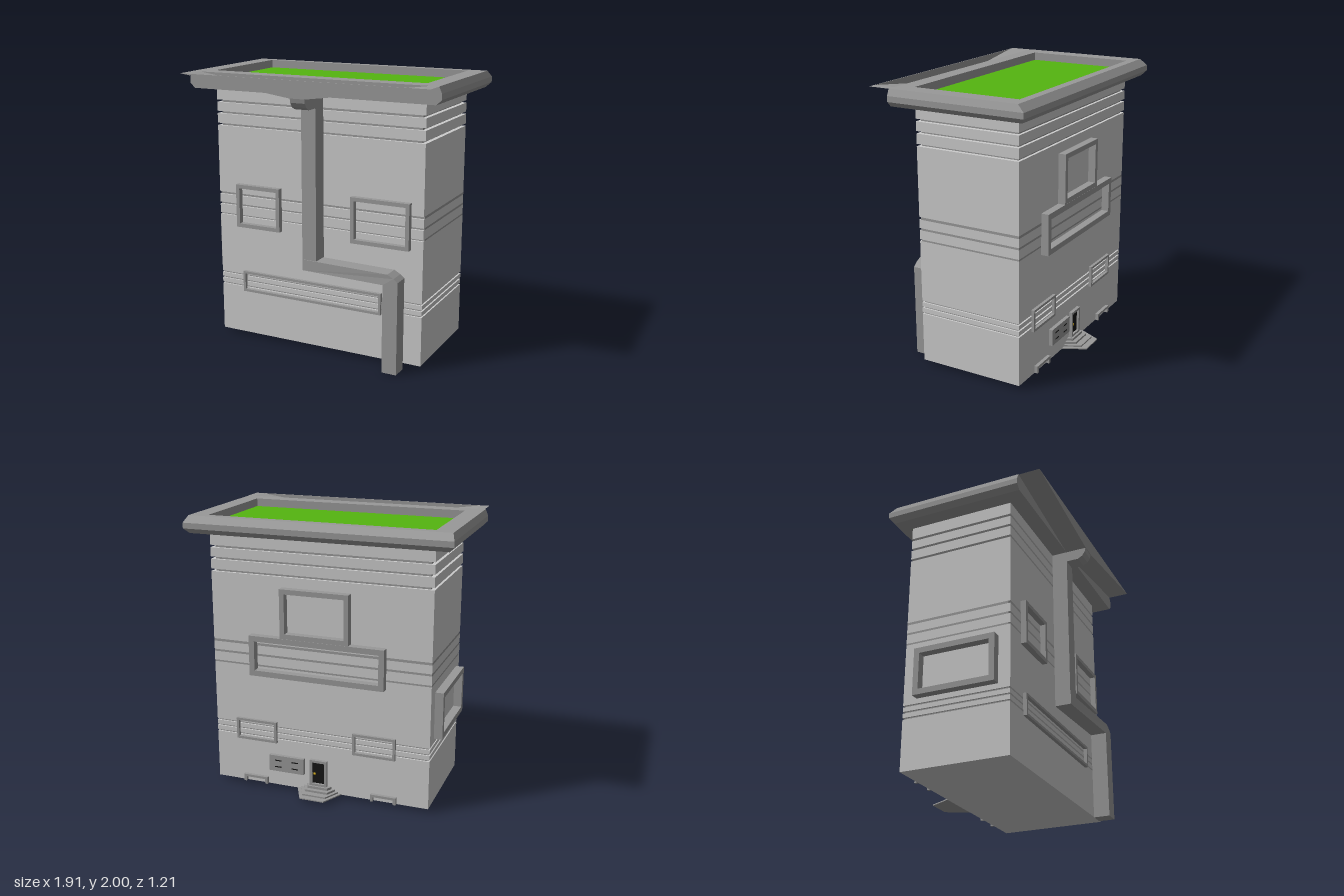
import * as THREE from 'three';

const mat = (color) => new THREE.MeshStandardMaterial({ color, flatShading: true, side: THREE.DoubleSide });
const WALL = mat(0xcccccc), TRIM = mat(0x999999), GREEN = mat(0x55b510), DARK = mat(0x161616), GOLD = mat(0xd8b020);
const BACK = -0.445, FRONT = 0.335;

function add(parent, name, geometry, material = TRIM) {
  const mesh = new THREE.Mesh(geometry, material);
  mesh.name = name;
  parent.add(mesh);
  return mesh;
}

// Box given by its limits
function box(parent, name, x0, x1, y0, y1, z0, z1, material) {
  const g = new THREE.BoxGeometry(x1 - x0, y1 - y0, z1 - z0);
  g.translate((x0 + x1) / 2, (y0 + y1) / 2, (z0 + z1) / 2);
  return add(parent, name, g, material);
}

const polygon = (pts) => new THREE.Shape(pts.map(([x, y]) => new THREE.Vector2(x, y)));
const extrude = (shape, depth) => new THREE.ExtrudeGeometry(shape, { depth, bevelEnabled: false });
const rect = (w, h) => [[-w / 2, -h / 2], [w / 2, -h / 2], [w / 2, h / 2], [-w / 2, h / 2]];

// Rectangular frame standing out from a wall
function frame(parent, name, w, h, bar, depth, x, y, z, turn = 0) {
  const shape = polygon(rect(w, h));
  shape.holes.push(polygon(rect(w - 2 * bar, h - 2 * bar).reverse()));
  const mesh = add(parent, name, extrude(shape, depth));
  mesh.position.set(x, y, z);
  mesh.rotation.y = turn;
  return mesh;
}

// Skin through rectangular rings [halfWidth, zBack, zFront, y]
function loftRings(rings) {
  const pos = [];
  const corners = ([x, zb, zf, y]) => [[-x, y, zf], [x, y, zf], [x, y, zb], [-x, y, zb]];
  for (let r = 0; r < rings.length - 1; r++) {
    const a = corners(rings[r]), b = corners(rings[r + 1]);
    for (let i = 0; i < 4; i++) {
      const j = (i + 1) % 4;
      pos.push(...a[i], ...a[j], ...b[j], ...a[i], ...b[j], ...b[i]);
    }
  }
  const g = new THREE.BufferGeometry();
  g.setAttribute('position', new THREE.Float32BufferAttribute(pos, 3));
  g.computeVertexNormals();
  return g;
}

function buildBody(model) {
  const body = new THREE.Group();
  body.name = 'body';
  // Grooves: [bottom, top, side inset, back inset, front inset]
  const grooves = [
    [0.39, 0.402, 0.012, 0.012, 0.012], [0.434, 0.446, 0.012, 0.012, 0.012], [0.477, 0.489, 0.012, 0.012, 0.012],
    [0.935, 0.947, 0, 0, 0.015], [1.013, 1.028, 0, 0, 0.015], [1.09, 1.108, 0, 0, 0.015],
    [1.603, 1.62, 0.03, 0.02, 0.02], [1.69, 1.707, 0.03, 0.02, 0.02], [1.772, 1.79, 0.03, 0.02, 0.02],
  ];
  let y = 0.03;
  for (const [y0, y1, sx, sb, sf] of grooves) {
    box(body, 'wallBlock', -0.81, 0.81, y, y0, BACK, FRONT, WALL);
    box(body, 'wallGroove', -0.81 + sx, 0.81 - sx, y0, y1, BACK + sb, FRONT - sf, sx || sf ? TRIM : WALL);
    y = y1;
  }
  box(body, 'wallBlock', -0.81, 0.81, y, 1.88, BACK, FRONT, WALL);
  model.add(body);
}

function buildRoof(model) {
  const roof = new THREE.Group();
  roof.name = 'roof';
  add(roof, 'cornice', loftRings([
    [0.81, BACK, FRONT, 1.88], [0.92, -0.53, 0.45, 1.88], [0.955, -0.56, 0.45, 1.915], [0.955, -0.56, 0.45, 1.955],
    [0.935, -0.51, 0.45, 2], [0.81, -0.45, 0.335, 2], [0.81, -0.45, 0.335, 1.94],
  ]));
  box(roof, 'roofLawn', -0.81, 0.81, 1.88, 1.942, -0.45, 0.335, GREEN);
  model.add(roof);
}

function buildDrain(model) {
  const drain = new THREE.Group();
  drain.name = 'drain';
  // Open gutter whose floor falls from both ends to the middle
  const floor = extrude(polygon([[-0.93, 2], [-0.06, 1.88], [0.06, 1.88], [0.94, 2],
    [0.88, 2], [0.06, 1.888], [-0.06, 1.888], [-0.87, 2]]), 0.155);
  add(drain, 'gutterFloor', floor.translate(0, 0, 0.45));
  const board = extrude(polygon([[-0.93, 2], [-0.06, 1.88], [0.06, 1.88], [0.94, 2]]), 0.006);
  add(drain, 'gutterFrontBoard', board.translate(0, 0, 0.599));
  // Outlet under the gutter
  const outlet = extrude(polygon([[0.44, 1.8], [0.54, 1.8], [0.575, 1.82], [0.595, 1.85], [0.602, 1.88], [0.44, 1.88]]), 0.11);
  add(drain, 'gutterOutlet', outlet.rotateY(-Math.PI / 2).translate(0.055, 0, 0));
  box(drain, 'upperDownpipe', -0.055, 0.055, 0.72, 1.88, FRONT, 0.45);
  // Elbow and lower pipe, drifting forward towards the outer end
  const elbow = extrude(polygon([[-0.055, 0.64], [0.58, 0.64], [0.58, 0], [0.69, 0], [0.69, 0.67],
    [0.66, 0.695], [0.615, 0.72], [-0.055, 0.72]]), 0.118);
  const p = elbow.attributes.position;
  for (let i = 0; i < p.count; i++) {
    p.setZ(i, p.getZ(i) + FRONT + 0.032 * THREE.MathUtils.clamp(p.getX(i) / 0.58, 0, 1));
  }
  elbow.computeVertexNormals();
  add(drain, 'lowerDownpipe', elbow);
  model.add(drain);
}

function buildWindows(model) {
  const windows = new THREE.Group();
  windows.name = 'windows';
  frame(windows, 'frontRightWindow', 0.36, 0.32, 0.028, 0.04, -0.465, 1.025, FRONT);
  frame(windows, 'frontLeftWindow', 0.44, 0.33, 0.028, 0.04, 0.5, 1.03, FRONT);
  frame(windows, 'frontLongWindow', 1.12, 0.157, 0.018, 0.025, -0.05, 0.443, FRONT);
  frame(windows, 'sideWindow', 0.595, 0.34, 0.04, 0.06, -0.81, 0.695, -0.048, -Math.PI / 2);
  frame(windows, 'backUpperWindow', 0.505, 0.355, 0.035, 0.055, 0.018, 1.353, BACK, Math.PI);
  frame(windows, 'backWideWindow', 1.0, 0.295, 0.04, 0.055, 0.01, 1.027, BACK, Math.PI);
  for (const x of [0.485, -0.41]) {
    frame(windows, 'backSmallWindow', 0.315, 0.16, 0.018, 0.022, x, 0.445, BACK, Math.PI);
  }
  // Low cellar openings: two posts and a lintel
  for (const x of [0.5, -0.485]) {
    box(windows, 'cellarLintel', x - 0.095, x + 0.095, 0.065, 0.083, BACK - 0.025, BACK);
    for (const s of [-1, 1]) {
      box(windows, 'cellarPost', x + s * 0.085 - 0.01, x + s * 0.085 + 0.01, 0.03, 0.065, BACK - 0.025, BACK);
    }
  }
  model.add(windows);
}

function buildEntrance(model) {
  const entrance = new THREE.Group();
  entrance.name = 'entrance';
  // Stacked steps with splayed sides
  for (const [top, out, half] of [[0.036, 0.16, 0.17], [0.047, 0.115, 0.145], [0.062, 0.07, 0.12], [0.08, 0.04, 0.095]]) {
    const step = extrude(polygon([[-half, 0], [half, 0], [half - out / 2, out], [-half + out / 2, out]]), top - 0.028);
    add(entrance, 'step', step.rotateX(-Math.PI / 2).translate(0.005, 0.028, BACK));
  }
  frame(entrance, 'doorFrame', 0.13, 0.2, 0.018, 0.025, 0.005, 0.178, BACK, Math.PI);
  box(entrance, 'door', -0.042, 0.052, 0.08, 0.262, BACK - 0.008, BACK, DARK);
  const knob = add(entrance, 'doorKnob', new THREE.SphereGeometry(0.01, 8, 6), GOLD);
  knob.position.set(0.035, 0.17, BACK - 0.014);
  // Letter box panel with four slots
  box(entrance, 'letterBoxes', 0.115, 0.385, 0.15, 0.272, BACK - 0.028, BACK);
  for (const x of [0.185, 0.315]) {
    for (const y of [0.185, 0.235]) {
      box(entrance, 'letterSlot', x - 0.025, x + 0.025, y - 0.004, y + 0.004, BACK - 0.03, BACK - 0.02, DARK);
    }
  }
  model.add(entrance);
}

export function createModel() {
  const model = new THREE.Group();
  model.name = 'building';
  buildBody(model);
  buildRoof(model);
  buildDrain(model);
  buildWindows(model);
  buildEntrance(model);
  return model;
}
